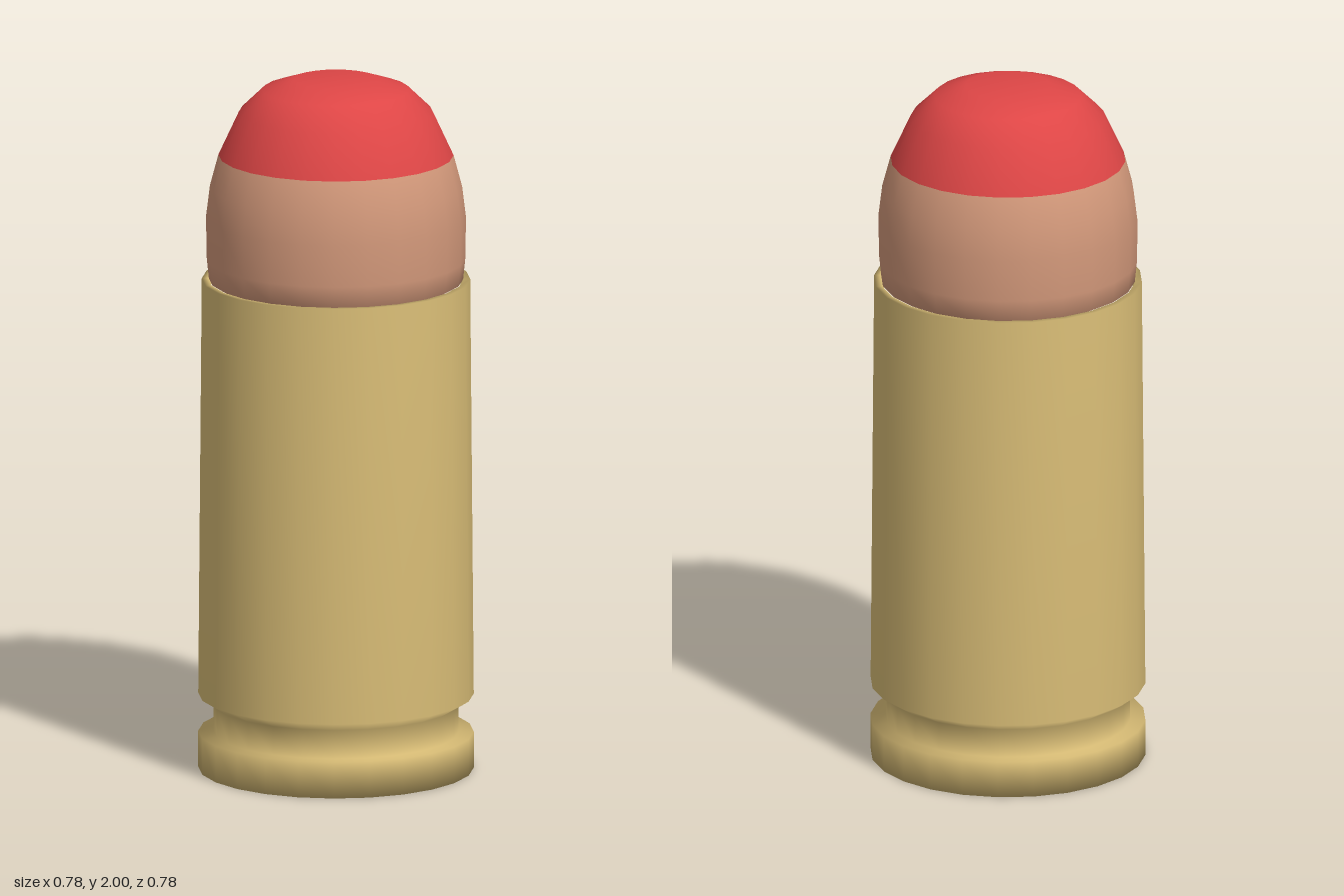
import * as THREE from 'three';

const SIDES = 24;
const material = (name, color) => {
  const m = new THREE.MeshStandardMaterial({ color });
  m.name = name;
  return m;
};
const lathe = (profile) =>
  new THREE.LatheGeometry(profile.map(([r, y]) => new THREE.Vector2(r, y)), SIDES);

export function createModel() {
  const brass = material('brass', 0xdabe77);
  const copper = material('copper', 0xd2987a);
  const red = material('red', 0xde4646);
  const group = new THREE.Group();
  group.name = 'cartridge';

  // Case: rim, extractor groove, chamfer, tapering wall and mouth
  const casing = new THREE.Mesh(lathe([
    [0, 0], [0.39, 0], [0.39, 0.105], [0.347, 0.105], [0.347, 0.188],
    [0.39, 0.215], [0.38, 1.42], [0.362, 1.42], [0.355, 1.4],
  ]), brass);
  casing.name = 'casing';
  group.add(casing);

  // Bullet: one smooth surface, its tip split off by colour
  const profile = [
    [0.33, 1.405], [0.36, 1.42], [0.366, 1.48], [0.368, 1.6], [0.357, 1.69],
    [0.333, 1.78], [0.275, 1.905], [0.208, 1.97], [0.12, 2], [0, 2],
  ];
  const geometry = lathe(profile);
  const bands = profile.length - 1;
  const lower = profile.findIndex(([, y]) => y === 1.78);
  for (let i = 0; i < SIDES; i++) {
    const start = i * bands * 6;
    geometry.addGroup(start, lower * 6, 0);
    geometry.addGroup(start + lower * 6, (bands - lower) * 6, 1);
  }
  const bullet = new THREE.Mesh(geometry, [copper, red]);
  bullet.name = 'bullet';
  group.add(bullet);

  return group;
}
